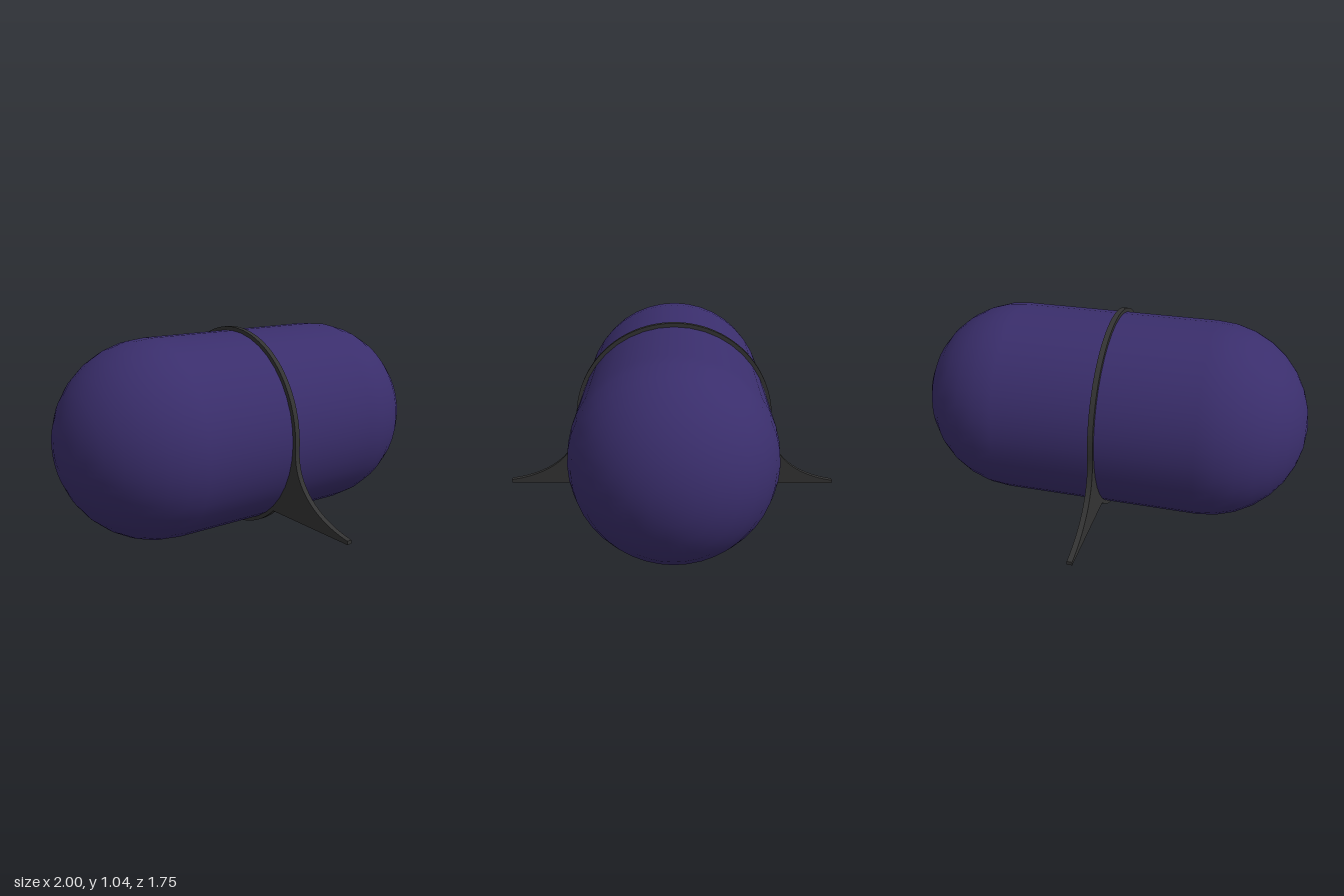
import * as THREE from 'three';

const CY = 0.522, CZ = -0.012;   // axis of the tank
const R = 0.499, BAND = 0.518;   // tank and band radii
const TIP = 0.877, FOOT = 0.143, THICK = 0.026;

// Smooth capsule lying along x
function makeTank() {
  const geometry = new THREE.CapsuleGeometry(R, 2 - 2 * R, 8, 40);
  geometry.rotateZ(Math.PI / 2);
  const tank = new THREE.Mesh(geometry, new THREE.MeshStandardMaterial({ color: 0x3a2e6c }));
  tank.name = 'tank';
  tank.position.set(0, CY, CZ);
  return tank;
}

// Thin plate: circular band with two flared feet, and a hole for the tank
function makeBracket() {
  const cx = -CZ;
  const low = Math.asin((FOOT - CY) / BAND);   // where the feet leave the lower arc
  const lowX = BAND * Math.cos(low);
  const shape = new THREE.Shape();
  shape.moveTo(cx + lowX, FOOT);
  shape.lineTo(TIP, FOOT);
  shape.lineTo(TIP, FOOT + 0.018);
  shape.bezierCurveTo(0.68, 0.19, cx + BAND, 0.30, cx + BAND, 0.49);
  shape.lineTo(cx + BAND, CY);
  shape.absarc(cx, CY, BAND, 0, Math.PI, false);
  shape.lineTo(cx - BAND, 0.49);
  shape.bezierCurveTo(cx - BAND, 0.30, -0.68, 0.19, -TIP, FOOT + 0.018);
  shape.lineTo(-TIP, FOOT);
  shape.lineTo(cx - lowX, FOOT);
  shape.absarc(cx, CY, BAND, Math.PI - low, 2 * Math.PI + low, false);

  const hole = new THREE.Path();
  hole.absarc(cx, CY, R - 0.01, 0, Math.PI * 2, true);
  shape.holes.push(hole);

  const geometry = new THREE.ExtrudeGeometry(shape, { depth: THICK, bevelEnabled: false, curveSegments: 32 });
  geometry.translate(0, 0, -THICK / 2);
  geometry.rotateY(Math.PI / 2);
  const bracket = new THREE.Mesh(geometry, new THREE.MeshStandardMaterial({ color: 0x333333 }));
  bracket.name = 'bracket';
  bracket.position.x = -0.015;
  return bracket;
}

export function createModel() {
  const model = new THREE.Group();
  model.name = 'tankWithBracket';
  model.add(makeTank(), makeBracket());
  return model;
}
